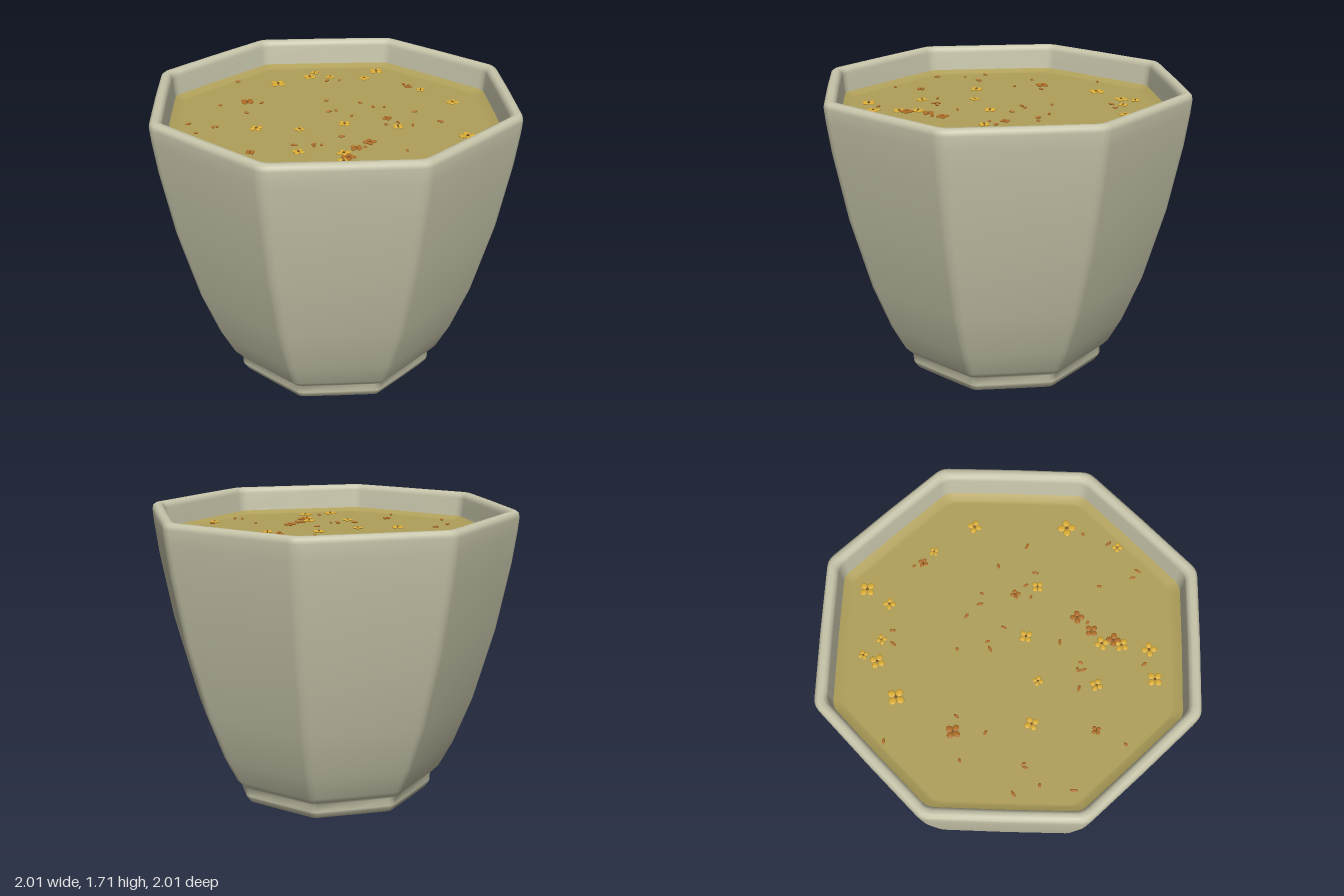
import * as THREE from 'three';
import { mergeGeometries } from 'three/addons/utils/BufferGeometryUtils.js';

const mat = (name, color, side = THREE.FrontSide) => {
  const m = new THREE.MeshStandardMaterial({ color, side });
  m.name = name;
  return m;
};

// Unit octagon (apothem 1) with softly rounded corners, as [x, z] points
function octagon() {
  const pts = [], h = Math.tan(Math.PI / 8), end = h - 0.04;
  const onSide = (k, s, r = 1) => {
    const a = k * Math.PI / 4;
    return [Math.sin(a) * r + Math.cos(a) * s, Math.cos(a) * r - Math.sin(a) * s];
  };
  for (let k = 0; k < 8; k++) {
    const p = onSide(k, end), c = onSide(k, h), q = onSide(k + 1, -end);
    pts.push(onSide(k, -end), onSide(k, 0, 1.003), p);
    for (const t of [1 / 3, 2 / 3]) {
      pts.push([0, 1].map(i => (1 - t) ** 2 * p[i] + 2 * t * (1 - t) * c[i] + t * t * q[i]));
    }
  }
  return pts;
}

// Sweep an [apothem, y] profile around the octagon with smooth normals
function octagonLathe(profile) {
  const ring = octagon(), n = ring.length, pos = [], idx = [];
  for (const [r, y] of profile) for (const [x, z] of ring) pos.push(x * r, y, z * r);
  for (let i = 0; i < profile.length - 1; i++) {
    for (let j = 0; j < n; j++) {
      const a = i * n + j, b = i * n + (j + 1) % n;
      idx.push(a, b, b + n, a, b + n, a + n);
    }
  }
  const g = new THREE.BufferGeometry();
  g.setAttribute('position', new THREE.Float32BufferAttribute(pos, 3));
  g.setIndex(idx);
  g.computeVertexNormals();
  return g;
}

// Flattened oval petal lying on the liquid
function petal(x, y, z, length, width, angle) {
  const g = new THREE.SphereGeometry(1, 8, 6);
  g.scale(length, 0.006, width);
  g.rotateY(angle);
  g.translate(x, y, z);
  return g;
}

function blossom([x, z, r], i, y) {
  const parts = [];
  for (let k = 0; k < 4; k++) {
    const a = i * 0.7 + k * Math.PI / 2;
    parts.push(petal(x + Math.cos(a) * r * 0.58, y, z - Math.sin(a) * r * 0.58, r * 0.45, r * 0.42, a));
  }
  return mergeGeometries(parts);
}

export function createModel() {
  const group = new THREE.Group();
  const add = (name, geometry, material) => {
    const m = new THREE.Mesh(geometry, material);
    m.name = name;
    group.add(m);
  };
  const ceramic = mat('ceramic', 0xc8c6ab);
  const tea = mat('tea', 0xb0a05a);
  const yellow = mat('yellowPetal', 0xdcae36);
  const brown = mat('brownPetal', 0xb06c24);
  const centre = mat('blossomCentre', 0x7a4a18);
  const level = 1.55;

  // Cup: base, foot, flared wall, rounded rim, inner bowl
  add('cup', octagonLathe([
    [0, 0.005], [0.46, 0.005], [0.49, 0.007], [0.54, 0.02], [0.56, 0.05], [0.565, 0.065],
    [0.565, 0.11], [0.59, 0.135], [0.615, 0.165], [0.69, 0.32], [0.79, 0.6], [0.9, 1.03],
    [0.97, 1.42], [0.993, 1.6], [1, 1.68], [0.995, 1.703], [0.98, 1.715], [0.955, 1.715],
    [0.938, 1.703], [0.932, 1.68], [0.925, 1.6], [0.91, 1.48], [0.83, 1.03], [0.7, 0.55],
    [0.5, 0.18], [0.45, 0.15], [0, 0.15],
  ]), ceramic);

  // Tea with a raised edge where it meets the wall
  add('teaSurface', octagonLathe([
    [0.921, level + 0.02], [0.905, level + 0.012], [0.88, level + 0.002], [0.865, level], [0, level],
  ]), tea);

  // Floating blossoms: x, z, radius
  const yellowSpots = [
    [-0.34, -0.78, 0.045], [-0.31, -0.63, 0.035], [0.08, -0.7, 0.028], [0.35, -0.66, 0.04],
    [-0.61, -0.5, 0.028], [-0.58, -0.42, 0.042], [-0.48, -0.5, 0.03], [-0.64, -0.2, 0.05],
    [0.72, -0.3, 0.05], [0.35, -0.15, 0.034], [0.84, -0.02, 0.03], [0.1, 0.02, 0.038],
    [-0.03, 0.25, 0.03], [-0.22, 0.4, 0.04], [0.18, 0.48, 0.036], [0.37, 0.33, 0.04],
    [0.44, 0.41, 0.04], [0.53, 0.53, 0.042], [0.43, 0.67, 0.044],
  ];
  const brownSpots = [
    [-0.01, -0.69, 0.028], [0.23, -0.2, 0.028], [-0.55, 0.15, 0.042], [0.38, 0.13, 0.038],
    [0.38, 0.24, 0.036], [0.43, 0.36, 0.04], [0, 0.66, 0.027],
  ];
  const y = level + 0.007;
  add('yellowBlossoms', mergeGeometries(yellowSpots.map((s, i) => blossom(s, i, y))), yellow);
  add('brownBlossoms', mergeGeometries(brownSpots.map((s, i) => blossom(s, i + 0.5, y + 0.003))), brown);
  add('blossomCentres', mergeGeometries([...yellowSpots, ...brownSpots].map(
    ([x, z, r]) => petal(x, y + 0.004, z, r * 0.16, r * 0.16, 0))), centre);

  // Loose petals: x, z
  const loose = [
    [-0.06, -0.71], [-0.4, -0.5], [-0.45, -0.44], [-0.22, -0.18], [-0.05, -0.29], [0.05, -0.29],
    [0.1, -0.33], [0.28, -0.39], [0.48, -0.37], [-0.07, -0.1], [0.05, -0.1], [-0.09, -0.06],
    [0.28, -0.13], [0.31, -0.2], [0.4, -0.22], [0.76, -0.21], [-0.85, -0.06], [0.82, -0.07],
    [0.6, 0.08], [-0.48, 0.1], [0.21, 0.17], [0.4, 0.19], [0.77, 0.17], [0.82, 0.16],
    [-0.63, 0.29], [-0.43, 0.27], [0.19, 0.37], [0.21, 0.33], [0.17, 0.35], [0.1, 0.43],
    [-0.4, 0.53], [-0.41, 0.55], [-0.55, 0.61], [-0.42, 0.67], [0.45, 0.57], [-0.31, 0.81], [0.06, 0.82],
  ];
  add('loosePetals', mergeGeometries(loose.map(
    ([x, z], i) => petal(x, y, z, 0.013 + 0.004 * (i % 3), 0.008, i * 2.4))), brown);

  return group;
}
